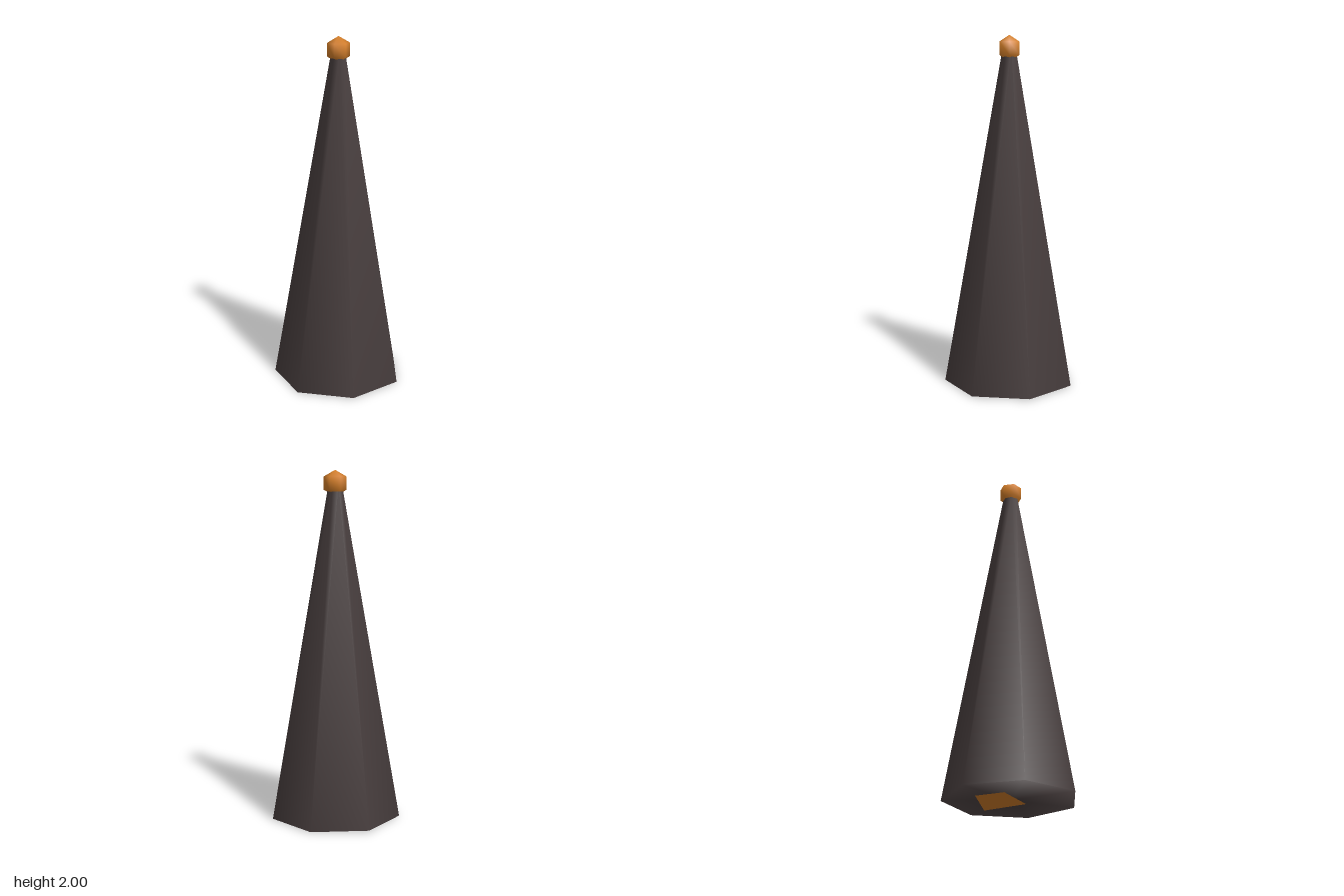
import * as THREE from 'three';
import { mergeVertices } from 'three/addons/utils/BufferGeometryUtils.js';

// Welds all corners so the shading runs smoothly over every edge
function smooth(geometry) {
  geometry.deleteAttribute('uv');
  geometry.deleteAttribute('normal');
  const welded = mergeVertices(geometry, 1e-4);
  welded.computeVertexNormals();
  return welded;
}

export function createModel() {
  const group = new THREE.Group();
  group.name = 'spire';
  const dark = new THREE.MeshStandardMaterial({ name: 'dark brown', color: 0x4a4040 });
  const orange = new THREE.MeshStandardMaterial({ name: 'orange', color: 0xd9822b });

  const add = (name, geometry, material, y) => {
    const mesh = new THREE.Mesh(geometry, material);
    mesh.name = name;
    mesh.position.set(0, y, 0.018);
    group.add(mesh);
    return mesh;
  };

  // Seven-sided tapering body, one corner pointing back
  const bottom = 0.003;
  const top = 1.926;
  const body = new THREE.CylinderGeometry(0.038, 0.378, top - bottom, 7).rotateY(Math.PI);
  add('body', smooth(body), dark, (top + bottom) / 2);

  // Six-sided ball on the tip, corners pointing front and back
  const ball = new THREE.SphereGeometry(0.074, 6, 3).rotateY(Math.PI / 2);
  add('tipBall', smooth(ball), orange, top);

  // Flat patch on the underside
  const outline = [[0.24, 0.07], [-0.02, 0.12], [-0.08, -0.13], [0.08, -0.18]];
  const shape = new THREE.Shape(outline.map(([x, z]) => new THREE.Vector2(x, z)));
  const patch = new THREE.ShapeGeometry(shape).rotateX(Math.PI / 2);
  add('undersidePatch', patch, orange, 0).position.z = 0;

  return group;
}
